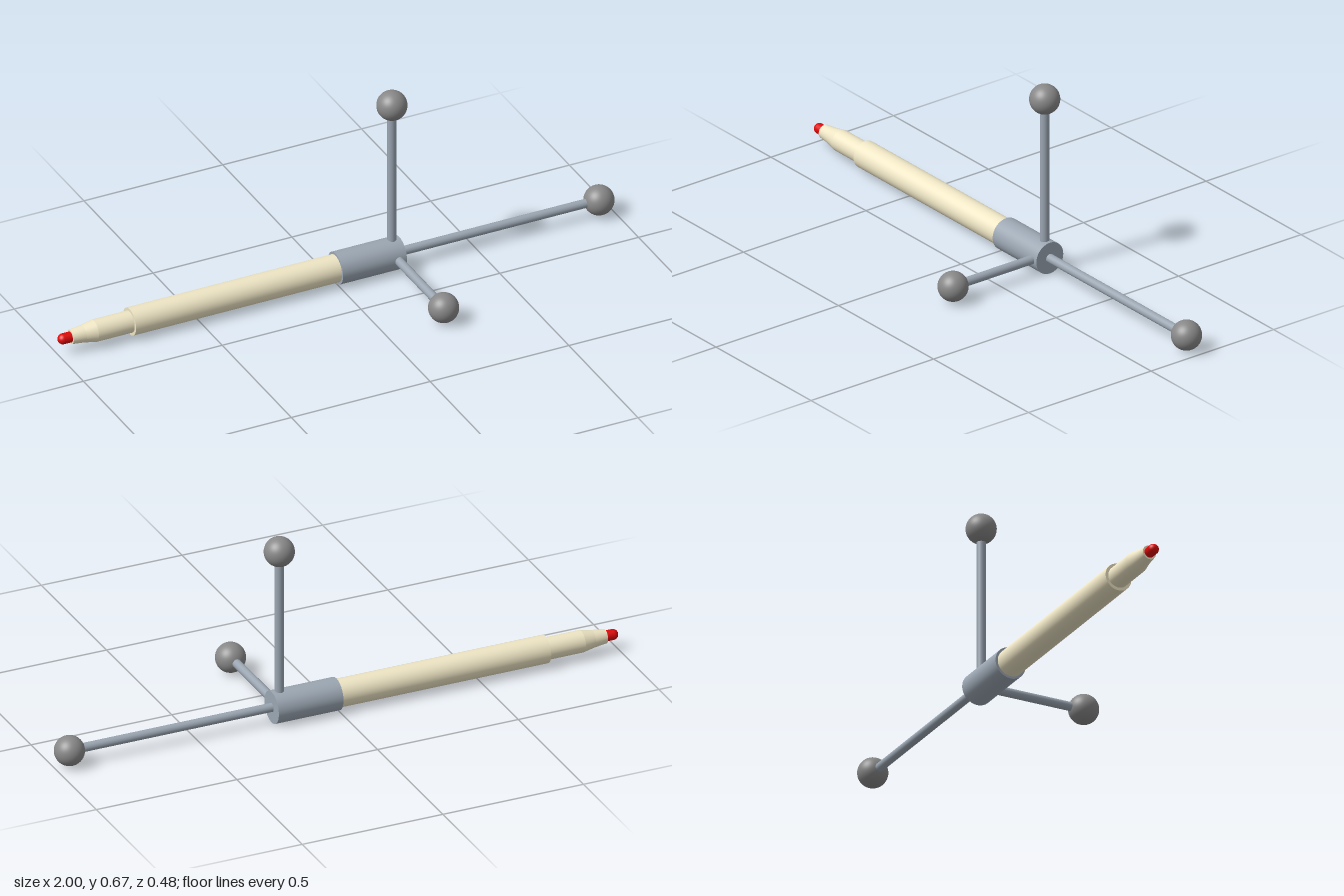
import * as THREE from 'three';

const AXIS_Y = 0.055, AXIS_Z = -0.184;
const HUB_X = 0.203;

const paint = (color) => new THREE.MeshStandardMaterial({ color });
const cream = paint(0xeee5c4);
const steel = paint(0x9ba6b2);
const grey = paint(0x888888);
const red = paint(0xdd0808);

function add(parent, name, geometry, material) {
  const mesh = new THREE.Mesh(geometry, material);
  mesh.name = name;
  parent.add(mesh);
  return mesh;
}

// Solid of revolution along x, from [x, radius] pairs; each segment keeps sharp ends
function turned(parent, name, profile, material) {
  const part = new THREE.Group();
  part.name = name;
  for (let i = 0; i < profile.length - 1; i++) {
    const [x0, r0] = profile[i], [x1, r1] = profile[i + 1];
    const points = [new THREE.Vector2(r0, x0), new THREE.Vector2(r1, x1)];
    add(part, name + 'Surface', new THREE.LatheGeometry(points, 48).rotateZ(-Math.PI / 2), material);
  }
  parent.add(part);
}

// Rod from the hub with a ball marker on its end
function markerArm(parent, name, direction, length) {
  const arm = new THREE.Group();
  arm.name = name;
  add(arm, 'rod', new THREE.CylinderGeometry(0.015, 0.015, length, 32).translate(0, length / 2, 0), steel);
  add(arm, 'markerBall', new THREE.SphereGeometry(0.0505, 48, 32).translate(0, length, 0), grey);
  arm.position.x = HUB_X;
  arm.quaternion.setFromUnitVectors(new THREE.Vector3(0, 1, 0), direction);
  parent.add(arm);
}

export function createModel() {
  const model = new THREE.Group();
  model.name = 'trackedPen';
  const pen = new THREE.Group();
  pen.name = 'pen';
  pen.position.set(0, AXIS_Y, AXIS_Z);
  model.add(pen);

  // Barrel, stepped down to the grip and tapered nose
  turned(pen, 'barrel', [[-0.742, 0], [-0.742, 0.047], [0.01, 0.047]], cream);
  turned(pen, 'nose', [[-0.955, 0], [-0.955, 0.024], [-0.91, 0.029], [-0.87, 0.037], [-0.74, 0.037]], cream);

  // Rounded felt tip
  const tip = new THREE.CapsuleGeometry(0.018, 0.05, 12, 32).rotateZ(Math.PI / 2);
  add(pen, 'feltTip', tip, red).position.x = -0.957;

  // Collar holding the marker arms
  turned(pen, 'collar', [[0, 0], [0, 0.055], [0.23, 0.055], [0.23, 0]], steel);

  // Three perpendicular marker arms
  markerArm(pen, 'sideArm', new THREE.Vector3(1, 0, 0), 0.746);
  markerArm(pen, 'upperArm', new THREE.Vector3(0, 1, 0), 0.56);
  markerArm(pen, 'frontArm', new THREE.Vector3(0, 0, 1), 0.374);

  return model;
}
